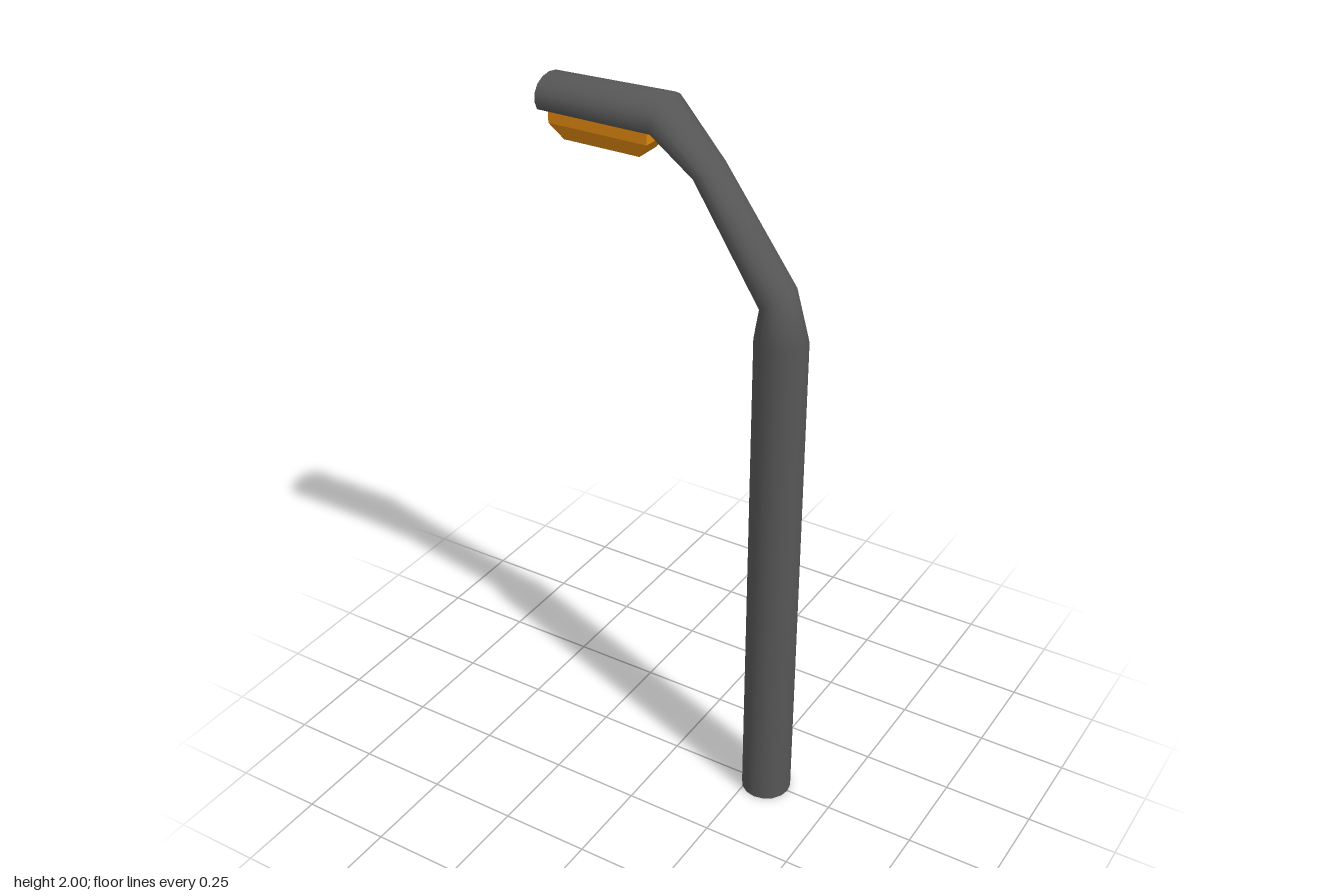
import * as THREE from 'three';

const SIDES = 16;

// Each ring: outer point, inner point (x, y), half width in z, lowest cosine kept (flattens the underside)
const RINGS = [
  { o: [0.368, 0], i: [0.23, 0], w: 0.07, cut: -1 },
  { o: [0.368, 1.43], i: [0.23, 1.43], w: 0.07, cut: -1 },
  { o: [0.33, 1.57], i: [0.243, 1.51], w: 0.055, cut: -1 },
  { o: [0.12, 1.85], i: [0.06, 1.81], w: 0.058, cut: -1 },
  { o: [-0.02, 2.0], i: [-0.04, 1.88], w: 0.075, cut: -0.5 },
  { o: [-0.368, 1.99], i: [-0.354, 1.884], w: 0.075, cut: -0.5 },
];

function ringPoints({ o, i, w, cut }) {
  const pts = [];
  for (let k = 0; k < SIDES; k++) {
    const a = (k / SIDES) * Math.PI * 2;
    const t = (Math.max(Math.cos(a), cut) + 1) / 2;
    pts.push([i[0] + (o[0] - i[0]) * t, i[1] + (o[1] - i[1]) * t, Math.sin(a) * w]);
  }
  return pts;
}

function buildGeometry(points, index) {
  const g = new THREE.BufferGeometry();
  g.setAttribute('position', new THREE.Float32BufferAttribute(points.flat(), 3));
  g.setIndex(index);
  g.computeVertexNormals();
  return g;
}

// Smooth skin through the rings, open at the foot
function tubeGeometry() {
  const index = [];
  for (let r = 0; r < RINGS.length - 1; r++) {
    for (let k = 0; k < SIDES; k++) {
      const n = (k + 1) % SIDES;
      const a = r * SIDES + k, b = r * SIDES + n;
      index.push(a, a + SIDES, b, b, a + SIDES, b + SIDES);
    }
  }
  return buildGeometry(RINGS.flatMap(ringPoints), index);
}

// Flat end of the lamp head
function capGeometry() {
  const pts = ringPoints(RINGS[RINGS.length - 1]);
  pts.push([-0.363, 1.945, 0]);
  const index = [];
  for (let k = 0; k < SIDES; k++) index.push(SIDES, (k + 1) % SIDES, k);
  return buildGeometry(pts, index);
}

// Box with its lower half tapered inwards
function lampGeometry() {
  const box = new THREE.BoxGeometry(0.285, 2, 0.112, 1, 2, 1);
  const p = box.attributes.position;
  for (let v = 0; v < p.count; v++) {
    const level = Math.round(p.getY(v));
    if (level < 0) {
      p.setX(v, p.getX(v) * 0.77);
      p.setZ(v, p.getZ(v) * 0.68);
    }
    p.setY(v, level > 0 ? 1.92 : level === 0 ? 1.882 : 1.84);
  }
  const g = box.toNonIndexed();
  g.computeVertexNormals();
  return g;
}

export function createModel() {
  const darkGrey = new THREE.MeshStandardMaterial({ color: 0x565656, side: THREE.DoubleSide });
  darkGrey.name = 'darkGrey';
  const amber = new THREE.MeshStandardMaterial({ color: 0xdc860f });
  amber.name = 'amber';

  const model = new THREE.Group();
  model.name = 'streetLamp';
  const add = (name, geometry, material) => {
    const mesh = new THREE.Mesh(geometry, material);
    mesh.name = name;
    model.add(mesh);
  };
  add('poleAndArm', tubeGeometry(), darkGrey);
  add('headEndCap', capGeometry(), darkGrey);
  add('lamp', lampGeometry().translate(-0.193, 0, 0), amber);
  return model;
}
